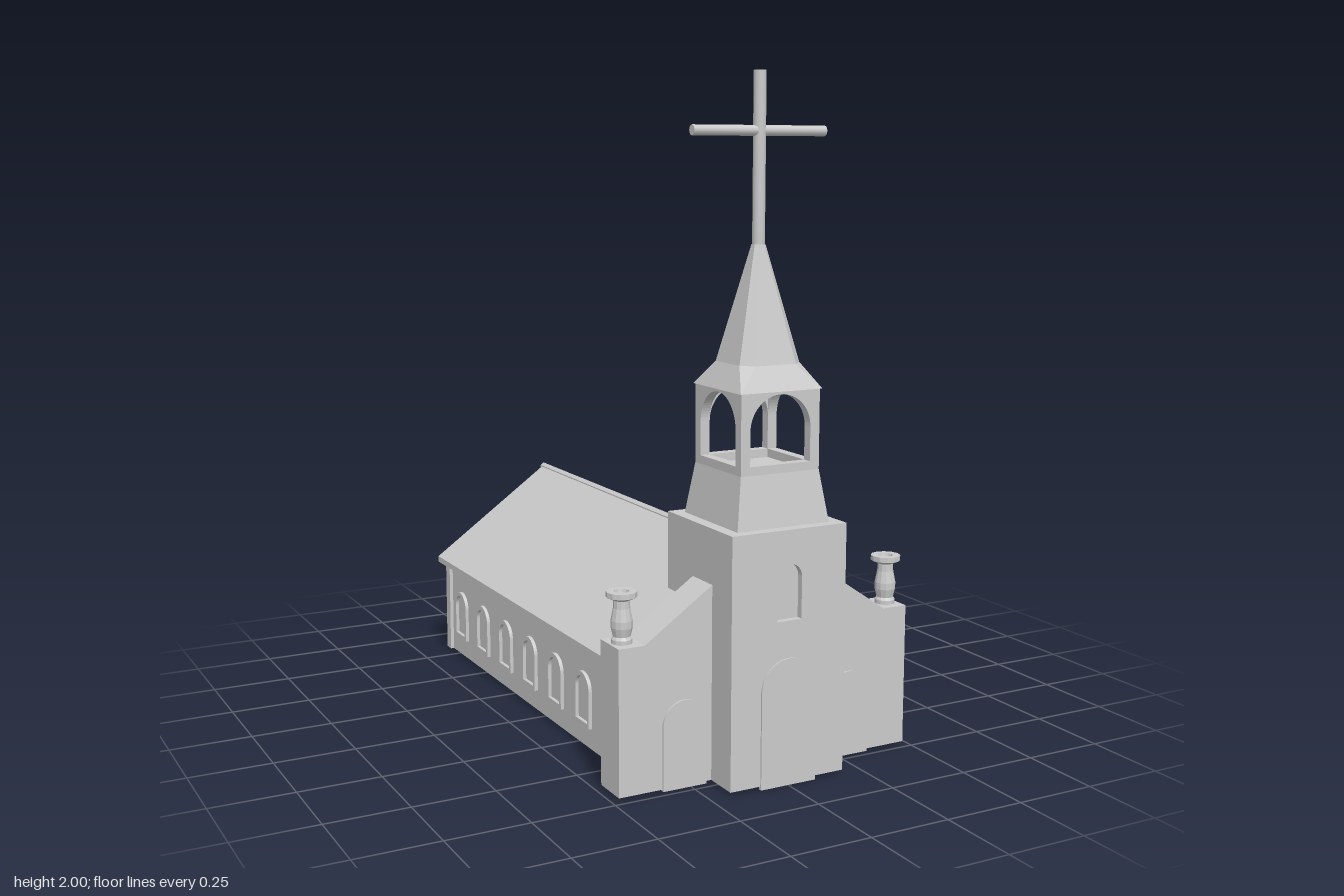
import * as THREE from 'three';

const mat = new THREE.MeshStandardMaterial({ color: 0xcccccc, side: THREE.DoubleSide });
const flat = new THREE.MeshStandardMaterial({ color: 0xcccccc, side: THREE.DoubleSide, flatShading: true });
const TOWER_Z = 0.655;
const SLOPE = 0.714;

function add(parent, name, geo, x = 0, y = 0, z = 0, material = mat) {
  const m = new THREE.Mesh(geo, material);
  m.name = name;
  m.position.set(x, y, z);
  parent.add(m);
  return m;
}

const box = (w, h, d) => new THREE.BoxGeometry(w, h, d);
const extrude = (shape, depth) =>
  new THREE.ExtrudeGeometry(shape, { depth, bevelEnabled: false, curveSegments: 16 });
const poly = (pts) => new THREE.Shape(pts.map(([x, y]) => new THREE.Vector2(x, y)));

// Round-headed outline of half width r
function arch(r, bottom, top, Type = THREE.Shape) {
  const s = new Type();
  s.moveTo(-r, bottom);
  s.lineTo(r, bottom);
  s.lineTo(r, top - r);
  s.absarc(0, top - r, r, 0, Math.PI, false);
  s.lineTo(-r, bottom);
  return s;
}

// Raised border around a round-headed window
function windowFrame(r, bottom, top, t = 0.013) {
  const s = arch(r, bottom, top);
  s.holes.push(arch(r - t, bottom + t, top - t, THREE.Path));
  return extrude(s, 0.012);
}

// Rectangular wall with a round-headed opening
function piercedWall(half, y0, y1, r, bottom, top, depth) {
  const s = poly([[-half, y0], [half, y0], [half, y1], [-half, y1]]);
  s.holes.push(arch(r, bottom, top, THREE.Path));
  return extrude(s, depth);
}

// Inverted V band following the roof pitch
const chevron = (half, top, t) => poly([
  [-half, top - SLOPE * half - t], [0, top - t], [half, top - SLOPE * half - t],
  [half, top - SLOPE * half], [0, top], [-half, top - SLOPE * half],
]);

// Loft through chamfered squares given as [y, half width, half length of the flat side]
function loftChamfered(rings) {
  const pts = rings.map(([y, h, f]) =>
    [[h, -f], [h, f], [f, h], [-f, h], [-h, f], [-h, -f], [-f, -h], [f, -h]].map(([x, z]) => [x, y, z]));
  const pos = [];
  const tri = (...v) => v.forEach((p) => pos.push(...p));
  for (let k = 0; k < pts.length - 1; k++) {
    for (let i = 0; i < 8; i++) {
      const j = (i + 1) % 8;
      tri(pts[k][i], pts[k + 1][i], pts[k][j]);
      tri(pts[k][j], pts[k + 1][i], pts[k + 1][j]);
    }
  }
  for (let i = 1; i < 7; i++) tri(pts[0][0], pts[0][i], pts[0][i + 1]);
  const g = new THREE.BufferGeometry();
  g.setAttribute('position', new THREE.Float32BufferAttribute(pos, 3));
  g.computeVertexNormals();
  return g;
}

function buildNave() {
  const g = new THREE.Group();
  g.name = 'nave';
  const eave = 0.625 - SLOPE * 0.385;
  const body = poly([[-0.385, 0.01], [0.385, 0.01], [0.385, eave], [0, 0.625], [-0.385, eave]]);
  add(g, 'naveWalls', extrude(body, 1.46), 0, 0, -0.81);
  add(g, 'roof', extrude(chevron(0.42, 0.643, 0.02), 1.47), 0, 0, -0.835);
  add(g, 'ridgeCap', extrude(chevron(0.012, 0.647, 0.025), 1.4), 0, 0, -0.845);
  add(g, 'gableTrim', extrude(chevron(0.395, 0.624, 0.035), 0.012), 0, 0, -0.822);

  for (const s of [-1, 1]) {
    add(g, 'cornerPilaster', box(0.035, 0.33, 0.035), s * 0.379, 0.175, -0.8045);
    add(g, 'frontPilaster', box(0.035, 0.33, 0.035), s * 0.379, 0.175, 0.603);
    add(g, 'eavesBand', box(0.02, 0.022, 1.43), s * 0.386, 0.336, -0.1);
    // Seven windows along each side
    for (let i = 0; i < 7; i++) {
      const w = add(g, 'sideWindow', windowFrame(0.053, 0.075, 0.24), s * 0.384, 0, 0.51 - 0.2 * i);
      w.rotation.y = s * Math.PI / 2;
    }
  }

  // Three windows in the rear gable
  for (const [x, r, top] of [[-0.235, 0.083, 0.345], [0, 0.105, 0.43], [0.235, 0.083, 0.345]]) {
    add(g, 'rearWindow', windowFrame(r, 0.08, top, 0.016), x, 0, -0.809).rotation.y = Math.PI;
  }
  return g;
}

function buildFacade() {
  const g = new THREE.Group();
  g.name = 'facade';
  const shape = poly([[-0.48, 0.01], [0.48, 0.01], [0.48, 0.435], [0.4, 0.435],
    [0.187, 0.58], [-0.187, 0.58], [-0.4, 0.435], [-0.48, 0.435]]);
  add(g, 'facadeWall', extrude(shape, 0.112), 0, 0, 0.62);

  const urn = [[0, 0], [0.03, 0], [0.03, 0.012], [0.025, 0.02], [0.031, 0.045], [0.031, 0.065],
    [0.024, 0.1], [0.023, 0.122], [0.044, 0.132], [0.044, 0.147], [0.022, 0.147], [0.02, 0.138], [0, 0.138]];
  const urnGeo = new THREE.LatheGeometry(urn.map(([x, y]) => new THREE.Vector2(x, y)), 12);
  for (const s of [-1, 1]) {
    add(g, 'sideDoor', extrude(arch(0.069, 0.005, 0.262), 0.012), s * 0.275, 0, 0.726);
    add(g, 'finial', urnGeo, s * 0.443, 0.435, 0.677, flat);
  }
  return g;
}

function buildTower() {
  const g = new THREE.Group();
  g.name = 'tower';
  g.position.z = TOWER_Z;

  // Square base with a recessed front window and the main door
  add(g, 'towerBase', box(0.374, 0.73, 0.35), 0, 0.375, -0.01);
  add(g, 'towerFront', piercedWall(0.187, 0.01, 0.74, 0.04, 0.48, 0.642, 0.02), 0, 0, 0.165);
  add(g, 'mainDoor', extrude(arch(0.09, 0, 0.372), 0.012), 0, 0, 0.178);

  // Tapered stage and open belfry
  const taper = new THREE.CylinderGeometry(0.128 * Math.SQRT2, 0.15 * Math.SQRT2, 0.15, 4);
  add(g, 'taperedStage', taper.rotateY(Math.PI / 4), 0, 0.815, 0, flat);
  const wall = piercedWall(0.128, 0.89, 1.12, 0.098, 0.915, 1.112, 0.03).translate(0, 0, 0.098);
  for (let i = 0; i < 4; i++) add(g, 'belfryWall', wall).rotation.y = i * Math.PI / 2;

  // Flared skirt rising into a chamfered spire
  add(g, 'spire', loftChamfered([[1.12, 0.133, 0.133], [1.19, 0.098, 0.066], [1.52, 0.018, 0.009]]), 0, 0, 0, flat);

  // Cross
  add(g, 'crossPost', new THREE.CylinderGeometry(0.018, 0.018, 0.5, 12), 0, 1.75, 0);
  add(g, 'crossArm', new THREE.CylinderGeometry(0.015, 0.015, 0.43, 12).rotateZ(Math.PI / 2), 0, 1.835, 0);
  return g;
}

export function createModel() {
  const model = new THREE.Group();
  model.name = 'church';
  model.add(buildNave(), buildFacade(), buildTower());
  return model;
}
